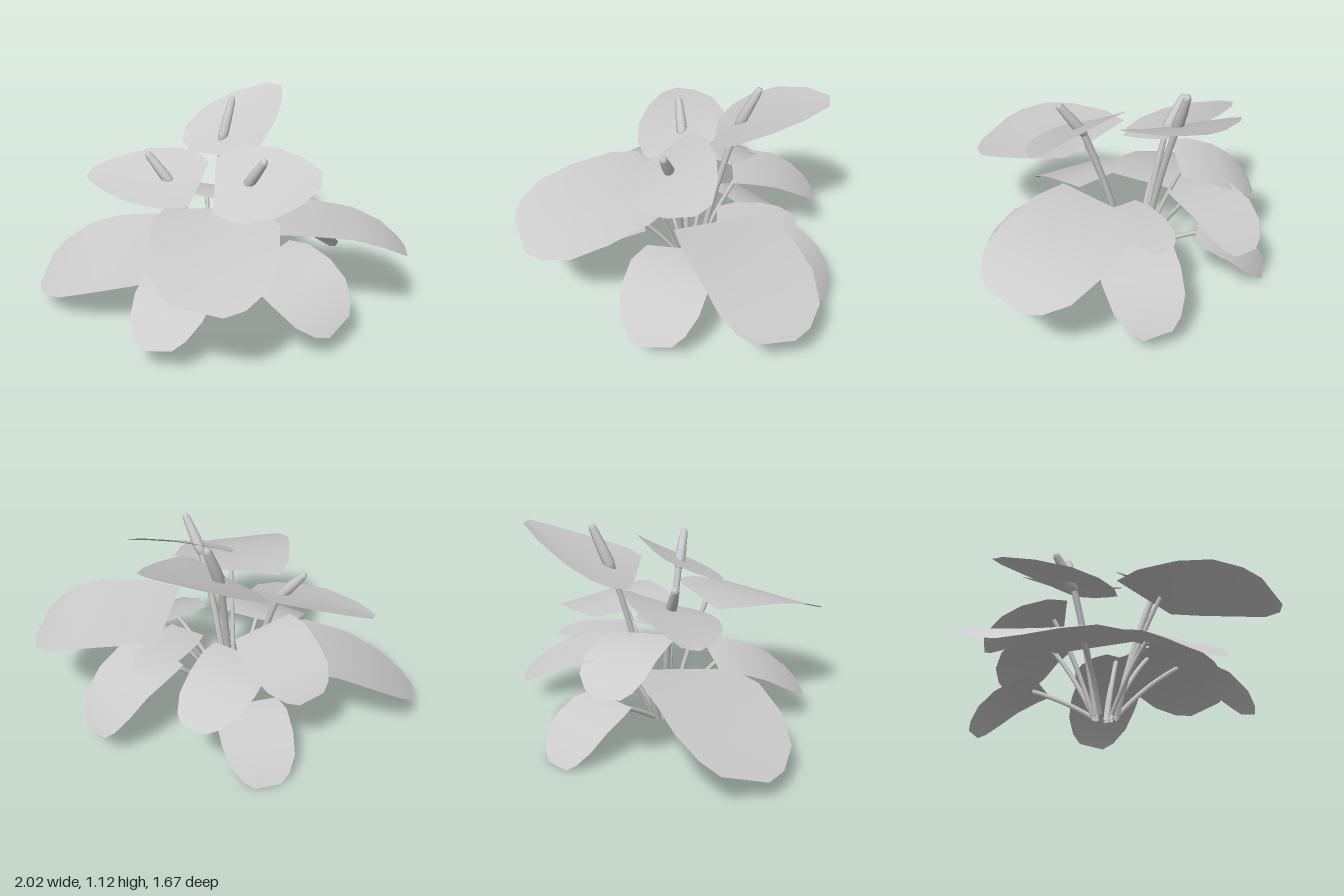
import * as THREE from 'three';

const grey = new THREE.MeshStandardMaterial({ color: 0xcccccc, side: THREE.DoubleSide });
const v = (p) => new THREE.Vector3(...p);

// Half-width along the blade as [position, share of full half-width]
const LEAF = [[0, 0.84], [0.2, 1], [0.5, 1], [0.75, 0.9], [0.92, 0.64], [1, 0.36]];
const SPATHE = [[0, 0.72], [0.15, 0.95], [0.35, 1], [0.6, 0.9], [0.84, 0.58], [1, 0.18]];
const ACROSS = [-1, -0.5, 0, 0.5, 1];

// Curve that passes through three points
function arc(a, m, b) {
  const c = m.clone().multiplyScalar(2).sub(a.clone().add(b).multiplyScalar(0.5));
  return new THREE.QuadraticBezierCurve3(a, c, b);
}

// Blade: cross-sections along a spine, tilted sideways from rollBase to rollTip, edges raised by cup
function blade(spine, profile, halfWidth, [rollBase, rollTip], cup) {
  const dir = spine.v2.clone().sub(spine.v0).setY(0).normalize();
  const side = new THREE.Vector3(-dir.z, 0, dir.x);
  const pos = [], index = [], n = ACROSS.length;
  profile.forEach(([t, w], i) => {
    const p = spine.getPoint(t);
    const roll = rollBase + (rollTip - rollBase) * t;
    for (const s of ACROSS) {
      const d = s * w * halfWidth;
      pos.push(p.x + side.x * d, p.y + roll * d + cup * s * s * w * halfWidth, p.z + side.z * d);
    }
    if (i === 0) return;
    for (let j = 0; j < n - 1; j++) {
      const a = (i - 1) * n + j, b = a + n;
      index.push(a, a + 1, b, a + 1, b + 1, b);
    }
  });
  const g = new THREE.BufferGeometry();
  g.setAttribute('position', new THREE.Float32BufferAttribute(pos, 3));
  g.setIndex(index);
  g.computeVertexNormals();
  return g;
}

function add(parent, geometry, name) {
  const mesh = new THREE.Mesh(geometry, grey);
  mesh.name = name;
  parent.add(mesh);
  return mesh;
}

// Stem from the crown of the plant, rising steeply then leaning out
function stem(parent, end, radius) {
  const out = new THREE.Vector3(end.x + 0.05, 0, end.z + 0.1).normalize();
  const root = new THREE.Vector3(-0.05 + out.x * 0.06, 0.05, -0.1 + out.z * 0.06);
  const bend = root.clone().lerp(end, 0.42);
  bend.y = root.y + (end.y - root.y) * 0.58;
  add(parent, new THREE.TubeGeometry(new THREE.QuadraticBezierCurve3(root, bend, end), 10, radius, 6), 'stem');
}

// name, base, middle and tip of the spine, half-width, sideways tilt at base and tip
const leaves = [
  ['frontLeaf', [0.06, 0.7, 0.1], [0.19, 0.655, 0.45], [0.26, 0.53, 0.81], 0.32, [-0.04, 0.2]],
  ['leftBackLeaf', [0.28, 0.55, -0.21], [0.69, 0.53, -0.35], [0.99, 0.4, -0.38], 0.29, [0.06, 0.22]],
  ['rightFrontLeaf', [-0.2, 0.37, 0], [-0.6, 0.32, 0.12], [-0.98, 0.15, 0.16], 0.33, [0.14, 0.32]],
  ['leftLeaf', [0.31, 0.41, -0.02], [0.55, 0.36, 0.1], [0.77, 0.18, 0.16], 0.23, [-0.12, -0.32]],
  ['lowFrontLeaf', [-0.05, 0.38, 0.17], [-0.04, 0.33, 0.42], [-0.02, 0.16, 0.68], 0.22, [-0.06, -0.2]],
  ['rightBackLeaf', [-0.25, 0.6, -0.2], [-0.43, 0.55, -0.35], [-0.6, 0.41, -0.43], 0.2, [-0.1, -0.1]],
  ['backLeaf', [-0.2, 0.53, -0.36], [-0.2, 0.5, -0.6], [-0.15, 0.37, -0.82], 0.18, [0.05, 0.05]],
  ['lowBackLeaf', [-0.25, 0.25, -0.39], [-0.37, 0.18, -0.55], [-0.48, 0.01, -0.68], 0.185, [0, 0]],
  ['backLeftLeaf', [0.24, 0.43, -0.38], [0.35, 0.35, -0.61], [0.41, 0.14, -0.8], 0.2, [0.05, -0.15]],
  ['smallBackLeaf', [0.17, 0.48, -0.22], [0.19, 0.49, -0.45], [0.23, 0.46, -0.64], 0.12, [0, 0]],
];

// As above, then the foot and top of the spadix
const flowers = [
  ['backFlower', [-0.06, 0.86, -0.23], [-0.07, 0.965, -0.48], [0.08, 1.12, -0.78], 0.275, [0.15, -0.03],
    [-0.09, 0.88, -0.35], [-0.06, 1.13, -0.455]],
  ['rightFlower', [-0.12, 0.72, -0.1], [-0.42, 0.74, -0.07], [-0.78, 0.71, -0.06], 0.24, [0.36, 0.28],
    [-0.27, 0.7, -0.085], [-0.42, 0.88, -0.075]],
  ['leftFlower', [0.05, 0.82, 0.09], [0.3, 0.85, 0.03], [0.57, 0.87, -0.09], 0.23, [-0.48, -0.55],
    [0.19, 0.8, 0.025], [0.32, 1, 0.08]],
];

export function createModel() {
  const plant = new THREE.Group();
  plant.name = 'floweringPlant';

  // Leaves on thin stems
  for (const [name, a, m, b, width, roll] of leaves) {
    const group = new THREE.Group();
    group.name = name;
    const spine = arc(v(a), v(m), v(b));
    add(group, blade(spine, LEAF, width, roll, 0), 'leafBlade');
    stem(group, spine.getPoint(0.12).add(new THREE.Vector3(0, -0.012, 0)), 0.013);
    plant.add(group);
  }

  // Flowers: a spathe with an upright spadix on a thicker stem
  const rod = [[0, 0], [0.02, 0.03], [0.03, 0.2], [0.028, 0.5], [0.021, 0.9], [0.015, 0.98], [0, 1]]
    .map(([r, y]) => new THREE.Vector2(r, y));
  for (const [name, a, m, b, width, roll, foot, top] of flowers) {
    const group = new THREE.Group();
    group.name = name;
    add(group, blade(arc(v(a), v(m), v(b)), SPATHE, width, roll, 0.05), 'spathe');
    const axis = v(top).sub(v(foot));
    const spadix = add(group, new THREE.LatheGeometry(rod, 8), 'spadix');
    spadix.scale.y = axis.length();
    spadix.position.copy(v(foot));
    spadix.quaternion.setFromUnitVectors(new THREE.Vector3(0, 1, 0), axis.normalize());
    stem(group, v(foot).addScaledVector(axis, 0.02), 0.018);
    plant.add(group);
  }
  return plant;
}
